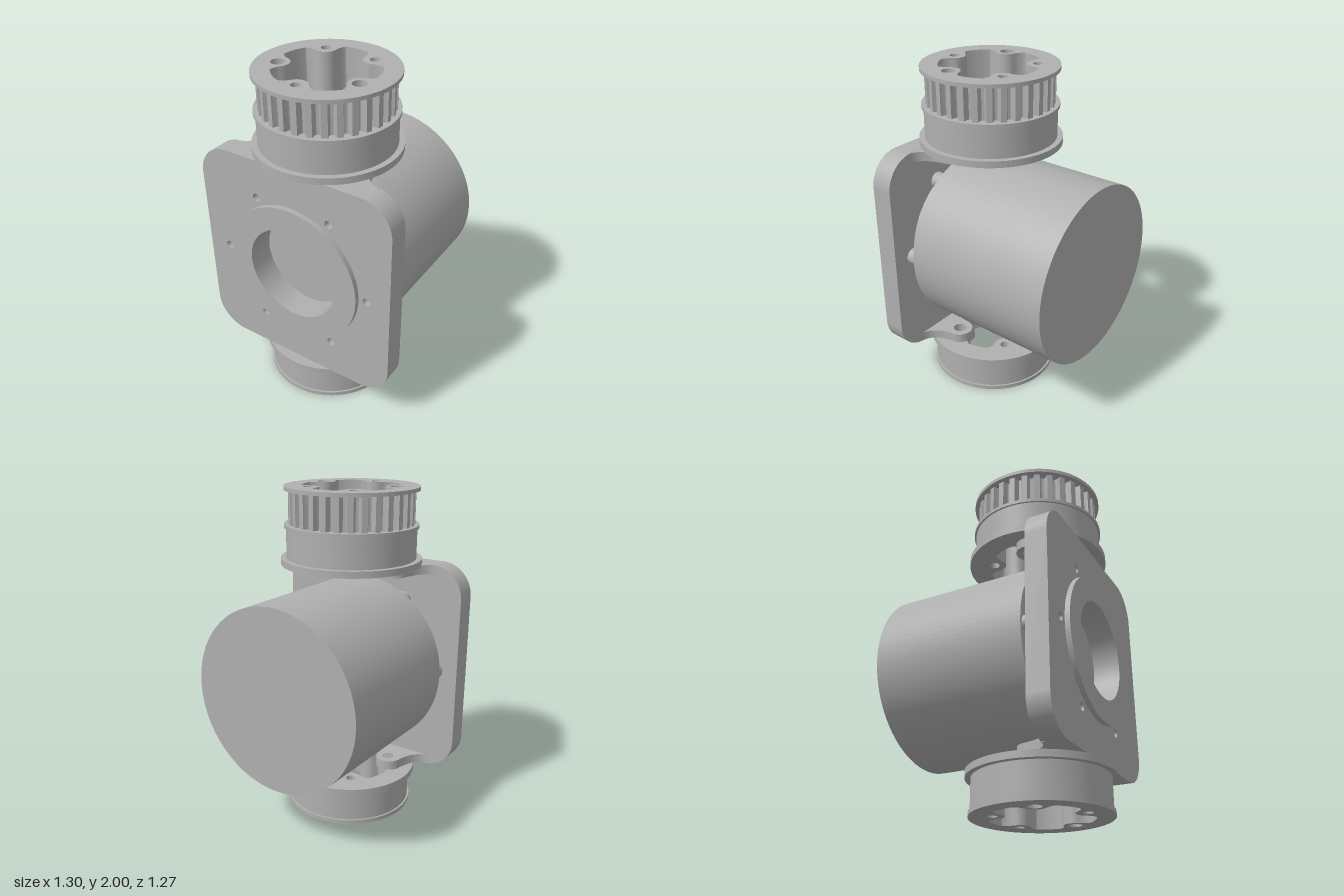
import * as THREE from 'three';
import { toCreasedNormals } from 'three/addons/utils/BufferGeometryUtils.js';

const grey = new THREE.MeshStandardMaterial({ color: 0xb0b0b0 });
grey.name = 'machined grey';

const MID = 0.9;            // height of the barrel axis
const BOLT = 0.266;         // bolt circle of the drums
const SCREW = 0.476;        // screw circle of the face plate

function circle(r, x = 0, y = 0) {
  return new THREE.Path().absarc(x, y, r, 0, Math.PI * 2, true);
}

function disc(r) {
  return new THREE.Shape().absarc(0, 0, r, 0, Math.PI * 2, false);
}

function add(parent, name, geometry) {
  const mesh = new THREE.Mesh(geometry, grey);
  mesh.name = name;
  parent.add(mesh);
  return mesh;
}

function extrude(shape, depth, curveSegments = 48) {
  return toCreasedNormals(
    new THREE.ExtrudeGeometry(shape, { depth, bevelEnabled: false, curveSegments }), 0.45);
}

// Upright slab: shape y points to the back, extrusion points up
function slab(parent, name, shape, y0, y1) {
  add(parent, name, extrude(shape, y1 - y0).rotateX(-Math.PI / 2).translate(0, y0, 0));
}

// Forward slab: centred on the barrel axis, from z0 to z1
function forward(parent, name, shape, z0, z1) {
  add(parent, name, extrude(shape, z1 - z0).translate(0, MID, z0));
}

const boltAngles = [0, 1, 2, 3, 4].map(k => -Math.PI / 2 + k * Math.PI * 2 / 5);

// Five-lobed bore: a circle with rounded bolt bosses pushing inwards
function lobedBore() {
  const boss = 0.066, edge = Math.asin(boss / BOLT), fillet = 0.14, steps = 180;
  const pts = [];
  for (let i = 0; i < steps; i++) {
    const a = -Math.PI / 2 + i / steps * Math.PI * 2;
    const pitch = Math.PI * 2 / 5;
    const t = (i / steps * Math.PI * 2) % pitch;
    const d = Math.min(t, pitch - t);
    const r = d < edge
      ? BOLT * Math.cos(d) - Math.sqrt(Math.max(0, boss ** 2 - (BOLT * Math.sin(d)) ** 2))
      : THREE.MathUtils.lerp(BOLT * Math.cos(edge), 0.292, THREE.MathUtils.smoothstep(d, edge, edge + fillet));
    pts.push(new THREE.Vector2(r * Math.cos(a), r * Math.sin(a)));
  }
  return new THREE.Path(pts.reverse());
}

// Cut the bore and the five bolt holes into a drum outline
function bored(shape) {
  shape.holes.push(lobedBore());
  boltAngles.forEach((a, k) => {
    const r = k === 1 || k === 4 ? 0.04 : 0.028;
    shape.holes.push(circle(r, BOLT * Math.cos(a), BOLT * Math.sin(a)));
  });
  return shape;
}

// Belt pulley outline with rounded grooves
function toothed(count, outer, root) {
  const profile = [[0, outer], [0.42, outer], [0.5, root + 0.012], [0.6, root], [0.82, root], [0.92, root + 0.012]];
  const pts = [];
  for (let i = 0; i < count; i++) {
    for (const [f, r] of profile) {
      const a = (i + f) / count * Math.PI * 2;
      pts.push(new THREE.Vector2(r * Math.cos(a), r * Math.sin(a)));
    }
  }
  return new THREE.Shape(pts);
}

function roundedSquare(w, h, r) {
  const s = new THREE.Shape();
  s.absarc(w - r, h - r, r, 0, Math.PI / 2);
  s.absarc(-w + r, h - r, r, Math.PI / 2, Math.PI);
  s.absarc(-w + r, -h + r, r, Math.PI, Math.PI * 1.5);
  s.absarc(w - r, -h + r, r, Math.PI * 1.5, Math.PI * 2);
  s.closePath();
  return s;
}

// Mounting lug reaching back from the plate; side is +1 or -1
function lugShape(side) {
  const x = v => v * side;
  const s = new THREE.Shape();
  s.moveTo(x(0.46), -0.24);
  s.lineTo(x(0.46), -0.226);
  s.bezierCurveTo(x(0.40), -0.222, x(0.37), -0.18, x(0.35), -0.13);
  s.lineTo(x(0.335), -0.075);
  for (let i = 1; i <= 16; i++) {
    const a = i / 16 * Math.PI;
    s.lineTo(x(0.255 + 0.08 * Math.cos(a)), -0.075 + 0.08 * Math.sin(a));
  }
  s.bezierCurveTo(x(0.175), -0.16, x(0.15), -0.21, x(0.08), -0.226);
  s.lineTo(x(0.08), -0.24);
  s.closePath();
  s.holes.push(circle(0.04, x(0.255), -0.075));
  return s;
}

export function createModel() {
  const model = new THREE.Group();
  model.name = 'motorJoint';
  const body = new THREE.Group();
  body.name = 'turnedBody';
  body.position.set(-0.013, 0, 0.19);
  body.rotation.y = THREE.MathUtils.degToRad(8);
  model.add(body);

  // Motor barrel and the neck behind the plate
  add(body, 'barrel', new THREE.CylinderGeometry(0.541, 0.541, 0.914, 96)
    .rotateX(Math.PI / 2).translate(0, MID, -0.3));
  forward(body, 'neck', disc(0.47), 0.157, 0.226);

  // Face plate, raised ring and screw bosses
  const plate = roundedSquare(0.62, 0.647, 0.19);
  plate.holes.push(circle(0.285));
  for (let k = 0; k < 6; k++) {
    const a = k * Math.PI / 3, x = SCREW * Math.cos(a), y = SCREW * Math.sin(a);
    plate.holes.push(circle(0.024, x, y));
    add(body, 'screwBoss', new THREE.CylinderGeometry(0.05, 0.05, 0.07, 24)
      .rotateX(Math.PI / 2).translate(x, MID + y, 0.191));
  }
  forward(body, 'facePlate', plate, 0.225, 0.355);
  const ring = disc(0.425);
  ring.holes.push(circle(0.285));
  forward(body, 'raisedRing', ring, 0.355, 0.385);

  // Lugs at the top and bottom of the plate
  for (const side of [1, -1]) {
    slab(body, 'upperLug', lugShape(side), 1.49, 1.546);
    slab(body, 'lowerLug', lugShape(side), 0.252, 0.31);
  }

  // Lower drum
  slab(body, 'lowerRim', bored(disc(0.395)), 0, 0.026);
  slab(body, 'lowerDrum', bored(disc(0.384)), 0.026, 0.21);
  slab(body, 'lowerFlange', bored(disc(0.417)), 0.21, 0.25);

  // Upper drum with the belt pulley
  slab(body, 'upperFlange', bored(disc(0.417)), 1.547, 1.586);
  slab(body, 'upperDrum', bored(disc(0.384)), 1.586, 1.764);
  slab(body, 'pulleyLowerRim', bored(disc(0.395)), 1.764, 1.784);
  slab(body, 'pulleyTeeth', bored(toothed(30, 0.37, 0.333)), 1.784, 1.978);
  slab(body, 'pulleyUpperRim', bored(disc(0.395)), 1.978, 2);

  return model;
}
